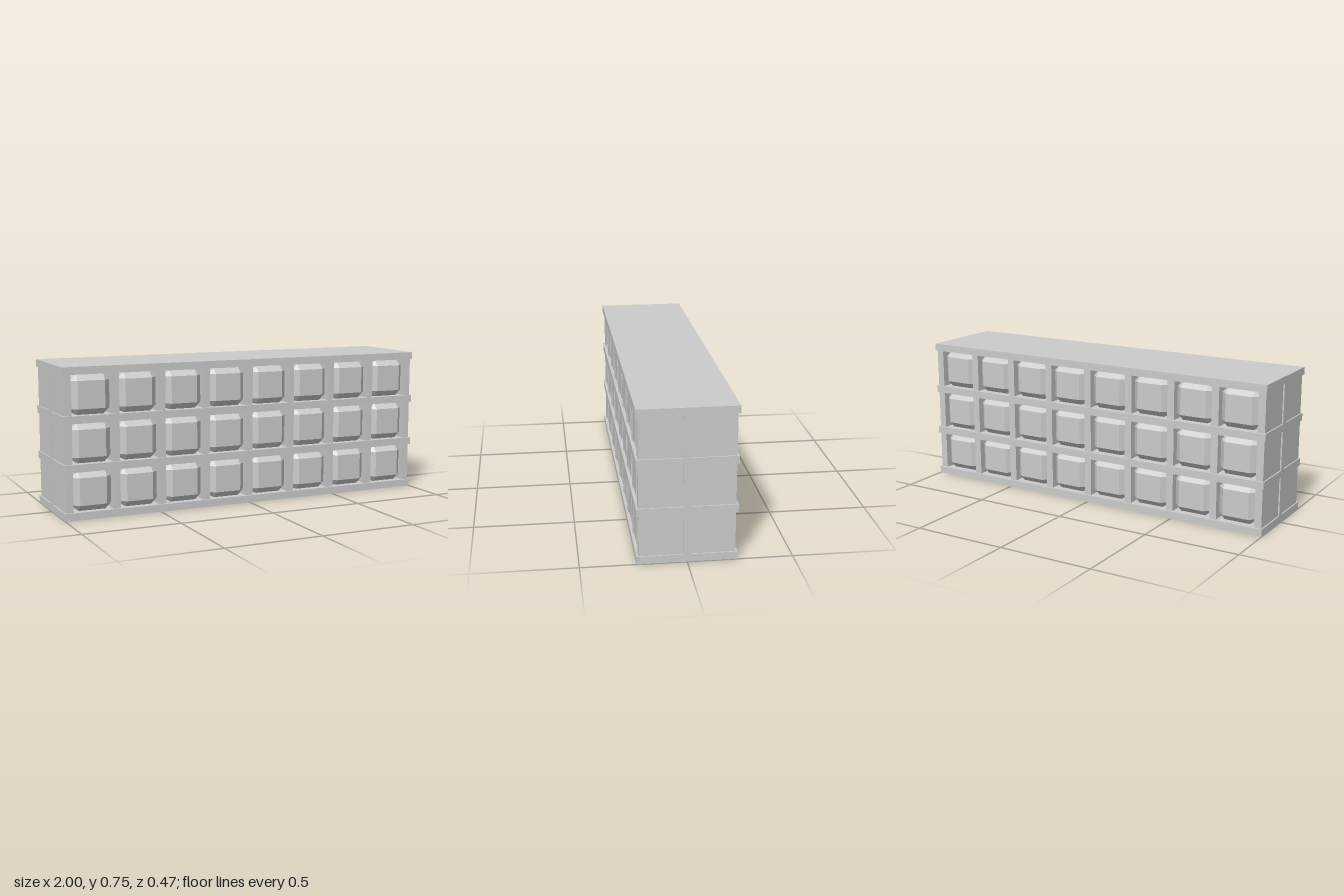
import * as THREE from 'three';
import { ConvexGeometry } from 'three/addons/geometries/ConvexGeometry.js';

const material = new THREE.MeshStandardMaterial({ color: 0xcccccc, flatShading: true });

// Cube with every edge and corner cut off
function chamferedCube(size, chamfer) {
  const h = size / 2, k = h - chamfer;
  const points = [];
  for (const x of [-1, 1]) for (const y of [-1, 1]) for (const z of [-1, 1]) {
    points.push(
      new THREE.Vector3(x * h, y * k, z * k),
      new THREE.Vector3(x * k, y * h, z * k),
      new THREE.Vector3(x * k, y * k, z * h));
  }
  return new ConvexGeometry(points);
}

export function createModel() {
  const model = new THREE.Group();
  const thick = 0.038, levelPitch = 0.239, height = 0.755;
  const columns = 8, columnPitch = 0.2435, halfDepth = 0.227;

  const add = (name, geometry, x, y, z) => {
    const mesh = new THREE.Mesh(geometry, material);
    mesh.name = name;
    mesh.position.set(x, y, z);
    model.add(mesh);
  };

  // Horizontal shelves, overhanging slightly
  const shelf = new THREE.BoxGeometry(2, thick, 0.474);
  for (let i = 0; i < 4; i++) add('shelf', shelf, 0, thick / 2 + i * levelPitch, 0);

  // Centre wall separating front and back bays
  add('centreWall', new THREE.BoxGeometry(2, height - 0.01, thick), 0, height / 2, 0);

  // Upright dividers and end panels
  const divider = new THREE.BoxGeometry(thick, height - 0.01, halfDepth * 2);
  for (let i = 0; i <= columns; i++) {
    const name = i === 0 || i === columns ? 'endPanel' : 'divider';
    add(name, divider, (i - columns / 2) * columnPitch, height / 2, 0);
  }

  // One chamfered crate in every bay, front and back
  const size = 0.2;
  const crate = chamferedCube(size, 0.031);
  for (let row = 0; row < 3; row++) {
    for (let col = 0; col < columns; col++) {
      const x = (col - (columns - 1) / 2) * columnPitch;
      const y = thick + row * levelPitch + size / 2;
      add('frontCrate', crate, x, y, 0.228 - size / 2);
      add('backCrate', crate, x, y, -0.226 + size / 2);
    }
  }
  return model;
}
